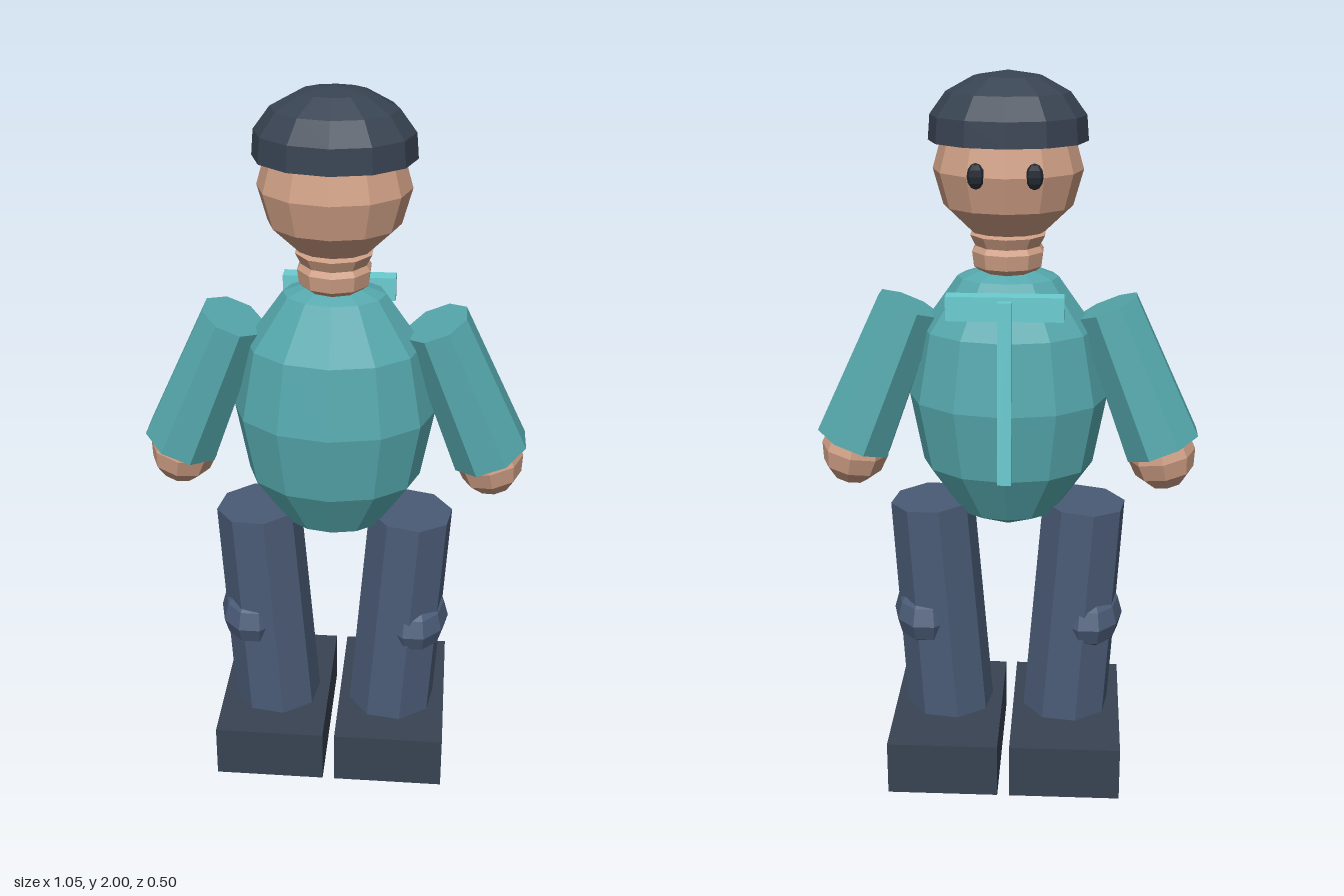
import * as THREE from 'three';

const paint = (color) => new THREE.MeshStandardMaterial({ color, flatShading: true, side: THREE.DoubleSide });

export function createModel() {
  const model = new THREE.Group();
  const teal = paint(0x55a8ad), lightTeal = paint(0x6bcdd2), skin = paint(0xcf9f85);
  const denim = paint(0x4a5b76), dark = paint(0x384352), black = paint(0x232a33);

  function add(name, geometry, material, x = 0, y = 0, z = 0) {
    const mesh = new THREE.Mesh(geometry, material);
    mesh.name = name;
    mesh.position.set(x, y, z);
    model.add(mesh);
    return mesh;
  }

  const ellipsoid = (rx, ry, rz, sides = 12, rings = 6) =>
    new THREE.SphereGeometry(1, sides, rings).scale(rx, ry, rz);

  // Eight-sided limb running between two points
  function limb(name, material, top, bottom, rTop, rBottom, depth, turn) {
    const a = new THREE.Vector3(...top), b = new THREE.Vector3(...bottom);
    const axis = a.clone().sub(b);
    const geometry = new THREE.CylinderGeometry(rTop, rBottom, axis.length(), 8)
      .rotateY(turn).scale(1, 1, depth);
    const mesh = add(name, geometry, material);
    mesh.position.copy(a).add(b).multiplyScalar(0.5);
    mesh.quaternion.setFromUnitVectors(new THREE.Vector3(0, 1, 0), axis.normalize());
    return mesh;
  }

  // Body and head
  add('torso', ellipsoid(0.275, 0.39, 0.21), teal, 0, 1.12, 0.03);
  const neckProfile = [[0, 1.46], [0.07, 1.47], [0.095, 1.49], [0.1, 1.53], [0.09, 1.545], [0.105, 1.575], [0, 1.6]]
    .map(([r, y]) => new THREE.Vector2(r, y));
  add('neck', new THREE.LatheGeometry(neckProfile, 10), skin, 0, 0, 0.03);
  add('head', ellipsoid(0.2, 0.19, 0.172), skin, 0, 1.746, 0.03);

  // Cap: upper part of a flattened ball
  const cap = new THREE.SphereGeometry(1, 12, 4, 0, Math.PI * 2, 0, Math.PI * 0.55).scale(0.214, 0.155, 0.175);
  add('cap', cap, dark, 0, 1.845, 0.027);
  const capBase = new THREE.CircleGeometry(1, 12).rotateX(Math.PI / 2).scale(0.211, 1, 0.172);
  add('capUnderside', capBase, dark, 0, 1.821, 0.027);

  // Straps on the face side
  add('crossStrap', new THREE.BoxGeometry(0.31, 0.065, 0.046), lightTeal, 0, 1.412, -0.138);
  add('hangingStrap', new THREE.BoxGeometry(0.037, 0.505, 0.028), lightTeal, 0, 1.182, -0.168);

  for (const [side, s] of [['left', 1], ['right', -1]]) {
    add(side + 'Eye', ellipsoid(0.023, 0.034, 0.02, 8, 6), black, s * 0.075, 1.75, -0.124);

    // Arm and hand
    limb(side + 'Sleeve', teal, [s * 0.272, 1.378, 0.026], [s * 0.431, 0.99, 0],
      0.09, 0.111, 1.12, Math.PI / 8);
    const hand = add(side + 'Hand', ellipsoid(0.095, 0.1, 0.095, 8, 6), skin, s * 0.43, 0.962, 0);
    hand.rotation.z = s * 0.2;

    // Leg, knee and shoe
    limb(side + 'Leg', denim, [s * 0.217, 0.805, 0.03], [s * 0.172, 0.15, 0.03],
      0.12, 0.128, 1, Math.PI / 8 * 0.6);
    add(side + 'Knee', ellipsoid(0.098, 0.097, 0.14, 10, 6), denim, s * 0.236, 0.455, 0.03);
    add(side + 'Shoe', new THREE.BoxGeometry(0.314, 0.157, 0.5), dark, s * 0.174, 0.0785, 0);
  }
  return model;
}
